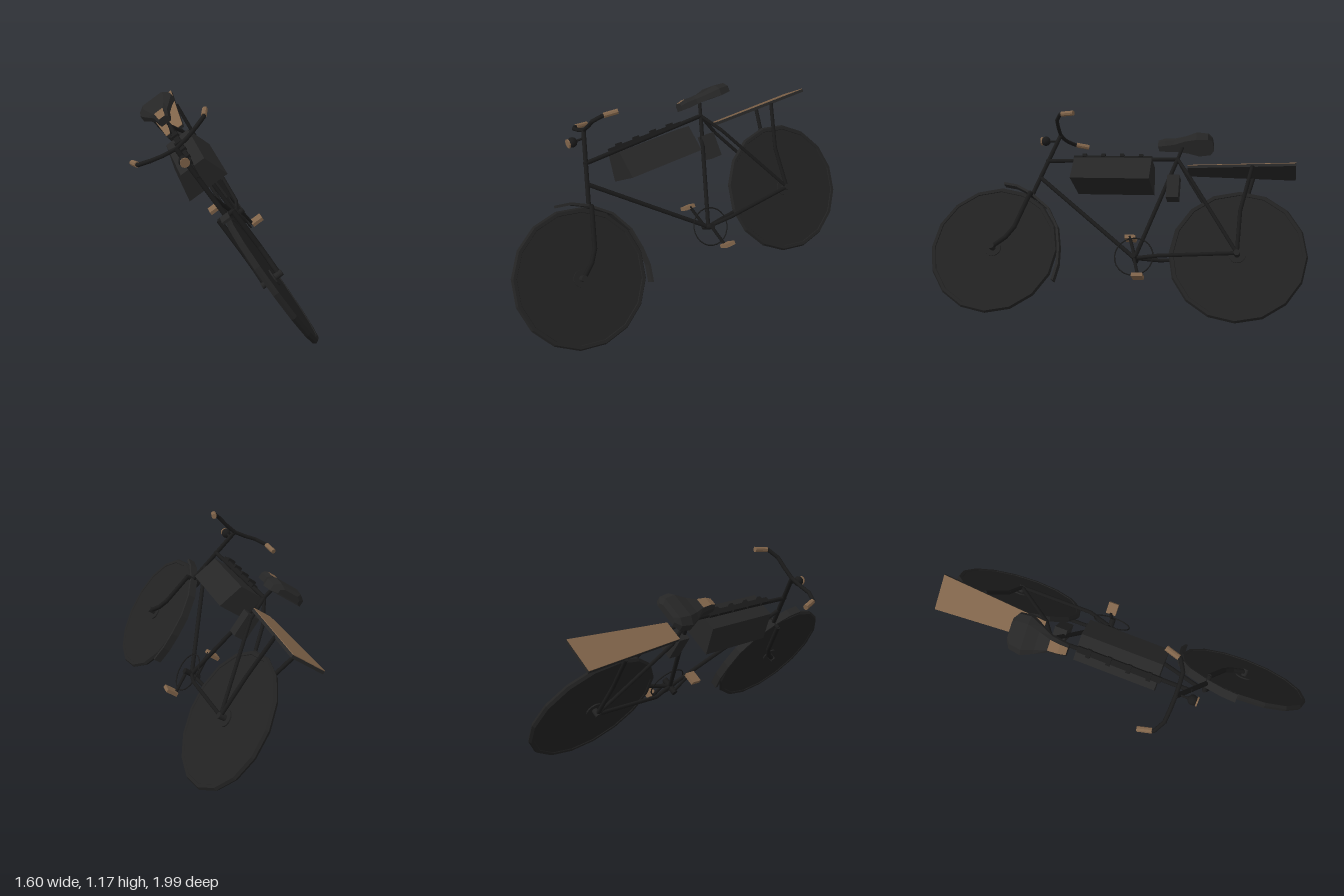
import * as THREE from 'three';

const paint = (name, color, extra = {}) =>
  Object.assign(new THREE.MeshStandardMaterial({ color, ...extra }), { name });

export function createModel() {
  const black = paint('frame black', 0x1a1a1a);
  const rubber = paint('wheel black', 0x222222, { flatShading: true });
  const casing = paint('casing charcoal', 0x262626, { flatShading: true });
  const grey = paint('underside grey', 0x3a3a3a, { flatShading: true });
  const brown = paint('worn brown', 0x80644a, { flatShading: true });

  // Bike space: z forward from the rear hub, y up in the wheel plane, x to the bike's left
  const bike = new THREE.Group();
  bike.name = 'bicycle';
  const P = (s, t, w = 0) => new THREE.Vector3(w, t, s);

  const add = (name, geo, mat, pos, parent = bike) => {
    const m = new THREE.Mesh(geo, mat);
    m.name = name;
    if (pos) m.position.copy(pos);
    parent.add(m);
    return m;
  };
  // Straight rods joined end to end along a list of points
  const rods = (name, pts, r = 0.013, mat = black) => {
    const g = new THREE.Group();
    g.name = name;
    for (let i = 0; i + 1 < pts.length; i++) {
      const d = pts[i + 1].clone().sub(pts[i]);
      const mid = pts[i].clone().add(pts[i + 1]).multiplyScalar(0.5);
      const m = add(name + 'Rod', new THREE.CylinderGeometry(r, r, d.length() + r * 0.6, 8), mat, mid, g);
      m.quaternion.setFromUnitVectors(new THREE.Vector3(0, 1, 0), d.normalize());
    }
    bike.add(g);
    return g;
  };
  const box = (name, w, h, l, mat, pos) => add(name, new THREE.BoxGeometry(w, h, l), mat, pos);

  // Wheels: faceted tyre, solid disc and hub
  const frontHub = P(1.494, 0), rearHub = P(0, 0);
  for (const [name, hub] of [['frontWheel', frontHub], ['rearWheel', rearHub]]) {
    const wheel = new THREE.Group();
    wheel.name = name;
    wheel.position.copy(hub);
    const disc = (part, r, w) =>
      add(part, new THREE.CylinderGeometry(r, r, w, 16).rotateZ(Math.PI / 2), rubber, null, wheel);
    add('tyre', new THREE.TorusGeometry(0.388, 0.019, 6, 16).rotateY(Math.PI / 2), rubber, null, wheel);
    disc('disc', 0.388, 0.024).rotation.x = Math.PI / 2;
    disc('hub', 0.05, 0.04);
    disc('axle', 0.018, 0.13);
    bike.add(wheel);
  }

  // Frame
  const bracket = P(0.609, -0.033), seatTop = P(0.391, 0.62);
  rods('seatTube', [bracket, seatTop]);
  rods('seatPost', [seatTop, P(0.366, 0.7)], 0.011);
  rods('topTube', [seatTop, P(1.225, 0.6)]);
  rods('downTube', [bracket, P(1.252, 0.483)]);
  rods('headTube', [P(1.157, 0.785), P(1.295, 0.36)], 0.014);
  rods('forkCrown', [P(1.295, 0.36, -0.045), P(1.295, 0.36, 0.045)], 0.014);
  rods('bottomBracket', [P(0.609, -0.033, -0.05), P(0.609, -0.033, 0.05)], 0.018);

  // Parts on both sides
  for (const k of [-1, 1]) {
    const side = k > 0 ? 'left' : 'right';
    rods(side + 'ForkBlade', [P(1.295, 0.36, k * 0.045), P(1.368, 0.132, k * 0.045),
      P(1.415, 0.064, k * 0.045), P(1.494, 0, k * 0.045)], 0.015);
    rods(side + 'ChainStay', [bracket, P(0.46, -0.028, k * 0.045), P(0, 0, k * 0.05)], 0.012);
    rods(side + 'SeatStay', [seatTop, P(0.31, 0.49, k * 0.045), P(0, 0, k * 0.05)], 0.011);
    rods(side + 'RackStrut', [P(-0.073, 0.535, k * 0.09), P(-0.01, 0.26, k * 0.06), P(0, 0, k * 0.05)], 0.012);
    rods(side + 'Handlebar', [P(1.157, 0.783), P(1.155, 0.795, k * 0.08), P(1.15, 0.812, k * 0.15),
      P(1.115, 0.82, k * 0.215), P(1.03, 0.815, k * 0.24)], 0.012);
    rods(side + 'Grip', [P(1.1, 0.82, k * 0.22), P(1.028, 0.815, k * 0.241)], 0.016, brown);
    // Crank and pedal: left one down, right one up
    const pedal = k > 0 ? P(0.568, -0.17, 0.08) : P(0.657, 0.118, -0.075);
    rods(side + 'Crank', [P(0.609, -0.033, k * 0.04), P(pedal.z, pedal.y, k * 0.045), pedal], 0.01);
    box(side + 'Pedal', 0.075, 0.022, 0.065, brown, pedal);
  }
  add('chainring', new THREE.TorusGeometry(0.116, 0.004, 6, 24).rotateY(Math.PI / 2), black, P(0.609, -0.033, 0.03));

  // Front mudguard: a bent strip behind the wheel
  const arc = [[-0.013, 0.44], [-0.1, 0.425], [-0.2, 0.375], [-0.32, 0.28], [-0.395, 0.15],
    [-0.42, 0.02], [-0.425, -0.09], [-0.405, -0.195]].map(p => new THREE.Vector2(...p));
  const inner = arc.map(p => p.clone().multiplyScalar(0.965)).reverse();
  add('frontMudguard', new THREE.ExtrudeGeometry(new THREE.Shape([...arc, ...inner]),
    { depth: 0.05, bevelEnabled: false }).rotateY(-Math.PI / 2).translate(0.025, 0, 0), casing, frontHub);

  // Rear rack: tapered dark board with a brown top
  const board = new THREE.Shape([[-0.108, -0.33], [0.108, -0.33], [0.062, 0.32], [-0.062, 0.32]]
    .map(p => new THREE.Vector2(...p)));
  const slab = h => new THREE.ExtrudeGeometry(board, { depth: h, bevelEnabled: false }).rotateX(Math.PI / 2);
  add('rackBoard', slab(0.018), casing, P(0, 0.55));
  add('rackTop', slab(0.004), brown, P(0, 0.554));

  // Battery case: wider at its base, slung under the top tube
  const section = new THREE.Shape([[-0.13, 0.43], [0.13, 0.43], [0.08, 0.59], [-0.08, 0.59]]
    .map(p => new THREE.Vector2(...p)));
  add('batteryCase', new THREE.ExtrudeGeometry(section, { depth: 0.49, bevelEnabled: false }), casing, P(0.54, 0));
  box('batteryRail', 0.035, 0.02, 0.5, black, P(0.8, 0.622));
  for (let i = 0; i < 4; i++) box('railClip', 0.05, 0.02, 0.025, black, P(0.62 + i * 0.12, 0.634));
  box('controller', 0.08, 0.15, 0.075, casing, P(0.405, 0.424));

  // Headlamp with a brown lens, on a short bracket
  rods('lampBracket', [P(1.17, 0.74), P(1.25, 0.74)], 0.007);
  add('headlamp', new THREE.SphereGeometry(0.03, 10, 8), black, P(1.25, 0.74));
  add('lampLens', new THREE.CylinderGeometry(0.027, 0.027, 0.009, 10).rotateX(Math.PI / 2), brown, P(1.276, 0.74));

  // Saddle lofted from [position, half width, base, top], rear to nose
  const rings = [[0.175, 0.07, 0.71, 0.745], [0.2, 0.108, 0.7, 0.762], [0.27, 0.118, 0.695, 0.768],
    [0.34, 0.085, 0.7, 0.752], [0.41, 0.05, 0.695, 0.748], [0.47, 0.042, 0.69, 0.75], [0.515, 0.034, 0.69, 0.738]];
  const verts = [], parts = [[], [], []];
  for (const [s, w, lo, hi] of rings) {
    const mid = lo + (hi - lo) * 0.6;
    verts.push(w, lo, s, w, mid, s, w * 0.65, hi, s, -w * 0.65, hi, s, -w, mid, s, -w, lo, s);
  }
  const last = (rings.length - 1) * 6;
  for (let i = 0; i + 1 < rings.length; i++) for (let j = 0; j < 6; j++) {
    const a = i * 6 + j, b = i * 6 + (j + 1) % 6;
    // Brown worn nose, grey underside, charcoal elsewhere
    parts[j === 2 && i >= 4 ? 2 : j === 5 ? 1 : 0].push(a, b, a + 6, b, b + 6, a + 6);
  }
  for (let j = 1; j < 5; j++) parts[0].push(0, j + 1, j, last, last + j, last + j + 1);
  const saddle = new THREE.BufferGeometry();
  saddle.setAttribute('position', new THREE.Float32BufferAttribute(verts, 3));
  saddle.setIndex(parts.flat());
  let start = 0;
  parts.forEach((p, i) => { saddle.addGroup(start, p.length, i); start += p.length; });
  saddle.computeVertexNormals();
  add('saddle', saddle, [casing, grey, brown]);

  // Lean and turn the whole bike
  const forward = new THREE.Vector3(-0.646, -0.023, 0.763).normalize();
  const up = forward.clone().cross(new THREE.Vector3(0.625, 0.566, 0.54)).normalize();
  const left = up.clone().cross(forward);
  bike.quaternion.setFromRotationMatrix(new THREE.Matrix4().makeBasis(left, up, forward));
  bike.position.set(0.48, 0.375, -0.5);

  const model = new THREE.Group();
  model.name = 'leaningBicycle';
  model.add(bike);
  return model;
}
